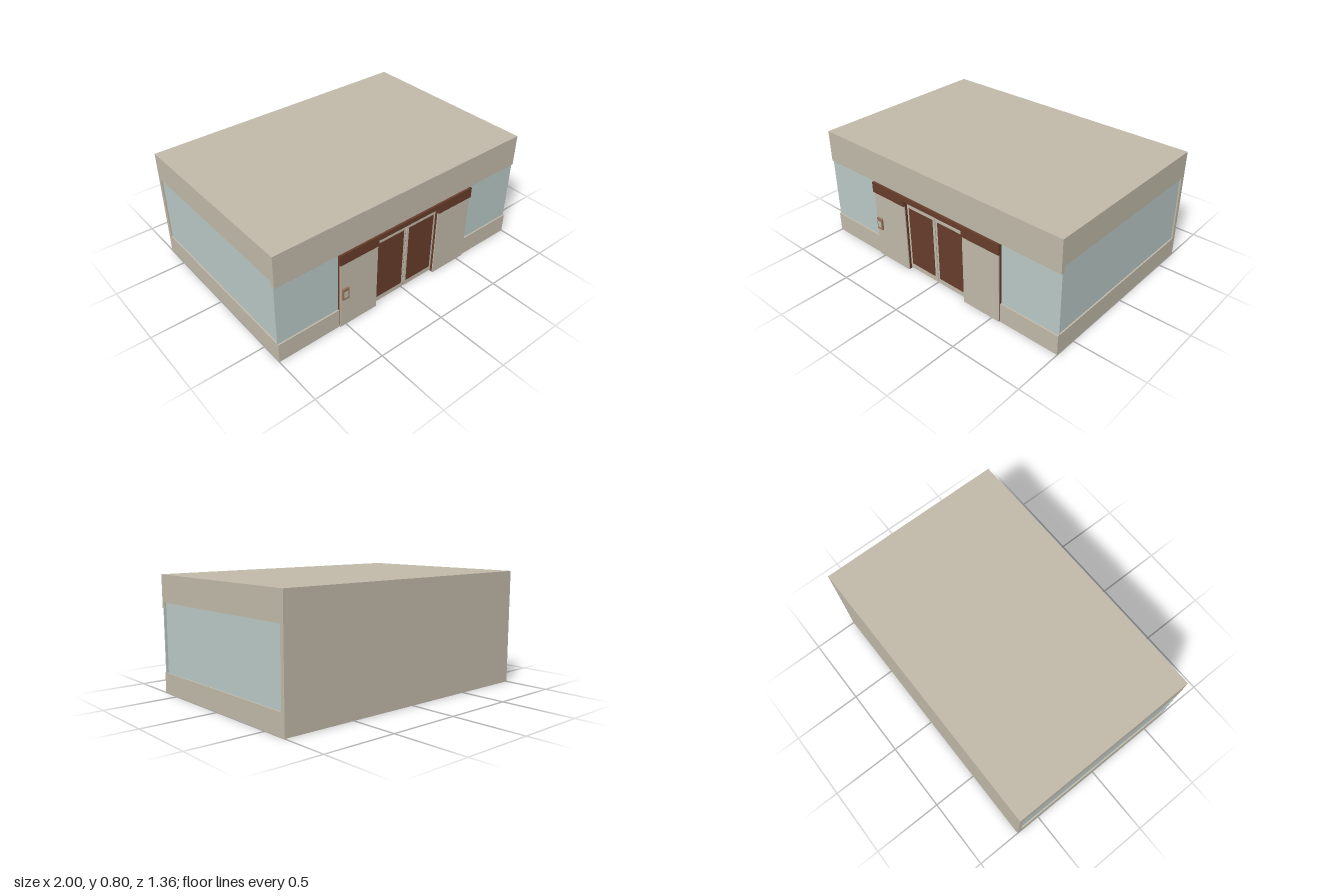
import * as THREE from 'three';

const mat = (name, color) => {
  const m = new THREE.MeshStandardMaterial({ color });
  m.name = name;
  return m;
};

export function createModel() {
  const root = new THREE.Group();
  root.name = 'building';
  const wall = mat('beige wall', 0xc1baa9);
  const glass = mat('pale glass', 0xb9c9c7);
  const brown = mat('dark brown', 0x663d2b);
  const wood = mat('wood', 0x96745a);

  // box given by its limits on each axis
  const box = (name, m, x0, x1, y0, y1, z0, z1, parent = root) => {
    const mesh = new THREE.Mesh(new THREE.BoxGeometry(x1 - x0, y1 - y0, z1 - z0), m);
    mesh.position.set((x0 + x1) / 2, (y0 + y1) / 2, (z0 + z1) / 2);
    mesh.name = name;
    parent.add(mesh);
    return mesh;
  };
  // same box, mirrored to the chosen side
  const sideBox = (name, m, s, a, b, ...rest) =>
    box(name, m, Math.min(s * a, s * b), Math.max(s * a, s * b), ...rest);
  const group = (name) => {
    const g = new THREE.Group();
    g.name = name;
    root.add(g);
    return g;
  };

  // shell, open underneath
  const zB = -0.68, zF = 0.655, t = 0.03;
  box('roof', wall, -1, 1, 0.77, 0.8, zB, zF);
  box('backWall', wall, -1, 1, 0, 0.77, zB, zB + t);
  box('frontBand', wall, -1, 1, 0.575, 0.77, zF - t, zF);

  for (const s of [1, -1]) {
    // side wall with its long window
    const inner = 1 - t;
    sideBox('sideSill', wall, s, inner, 1, 0, 0.14, zB + t, zF - t);
    sideBox('sideBand', wall, s, inner, 1, 0.615, 0.77, zB + t, zF - t);
    sideBox('sideWindow', glass, s, 0.982, 0.99, 0.14, 0.615, zB + t, zF - t);
    // front window bay
    const edge = s > 0 ? 0.565 : 0.55;
    sideBox('frontSill', wall, s, edge, 1, 0, 0.14, zF - t, zF);
    sideBox('frontWindow', glass, s, edge, 1, 0.14, 0.575, 0.637, 0.645);
  }

  // fixed entrance panels: brown core between two pale faces
  for (const [a, b] of [[-0.545, -0.25], [0.265, 0.56]]) {
    box('panelCore', brown, a, b, 0.002, 0.5, 0.625, 0.655);
    box('panelFace', wall, a, b, 0, 0.5, 0.655, 0.662);
    box('panelInnerFace', wall, a, b, 0, 0.5, 0.618, 0.625);
  }

  // header above the entrance, shallower over the doors
  box('headerRight', brown, -0.55, -0.25, 0.5, 0.575, 0.615, 0.67);
  box('headerLeft', brown, 0.265, 0.565, 0.5, 0.575, 0.615, 0.67);
  box('headerCentre', brown, -0.25, 0.265, 0.54, 0.575, 0.615, 0.67);

  // sliding doors with brown infill on both faces
  for (const [a, b] of [[-0.25, 0.004], [0.011, 0.265]]) {
    const door = group('slidingDoor');
    box('doorLeaf', wall, a, b, 0.01, 0.54, 0.615, 0.638, door);
    for (const z of [0.611, 0.637]) {
      box('doorInfill', brown, a + 0.02, b - 0.019, 0.05, 0.485, z, z + 0.005, door);
    }
  }
  box('doorSeal', brown, 0.004, 0.011, 0.01, 0.54, 0.62, 0.632);

  // control box on both sides of the fixed panel
  for (const [z0, z1, p0, p1] of [[0.662, 0.674, 0.673, 0.677], [0.606, 0.618, 0.603, 0.607]]) {
    box('controlBox', wood, -0.532, -0.484, 0.222, 0.307, z0, z1);
    box('controlPlate', wall, -0.523, -0.493, 0.238, 0.283, p0, p1);
  }

  // seats: low base with a tall back
  for (const s of [1, -1]) {
    sideBox('armchairSeat', wood, s, 0.585, 0.85, 0, 0.11, 0.32, 0.47);
    sideBox('armchairBack', wood, s, 0.585, 0.85, 0, 0.22, 0.47, 0.52);
    sideBox('sofaSeat', wood, s, 0.7, 0.87, 0, 0.11, -0.11, 0.2);
    sideBox('sofaBack', wood, s, 0.87, 0.92, 0, 0.22, -0.11, 0.2);
  }

  // row of low tables
  for (let i = 0; i < 4; i++) {
    const x = 0.5 - i * 0.41;
    const table = group('table');
    box('tableTop', wood, x - 0.15, x + 0.15, 0.08, 0.1, -0.5, -0.1, table);
    for (const lx of [-0.13, 0.13]) {
      for (const z of [-0.49, -0.13]) {
        box('tableLeg', wood, x + lx - 0.01, x + lx + 0.01, 0, 0.08, z - 0.01, z + 0.01, table);
      }
    }
  }

  // counter along the back wall
  box('counter', wood, 0.36, 0.96, 0, 0.2, -0.645, -0.56);

  return root;
}
